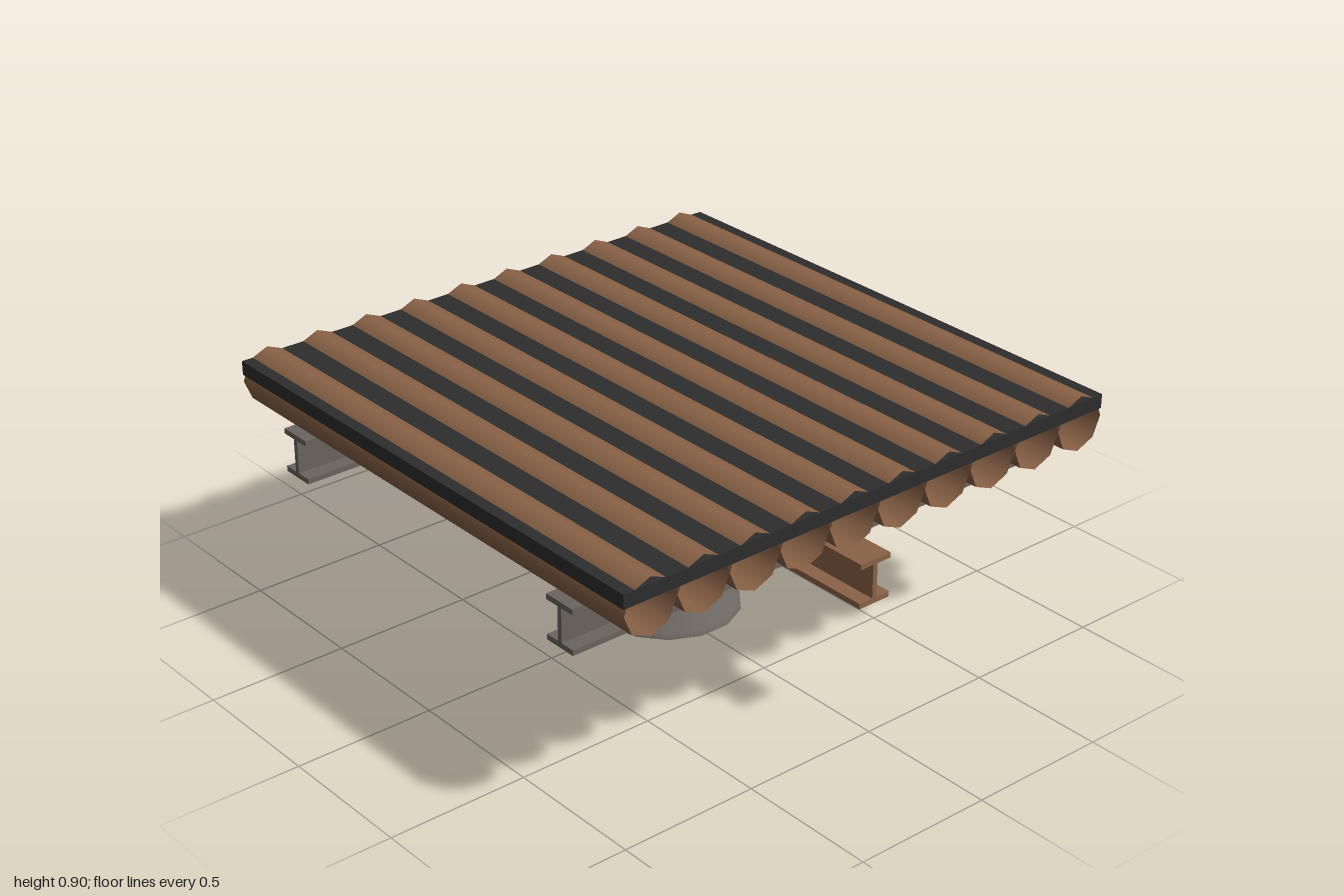
import * as THREE from 'three';

export function createModel() {
  const model = new THREE.Group();
  const mat = (name, color, side = THREE.FrontSide) => {
    const m = new THREE.MeshStandardMaterial({ color, side });
    m.name = name;
    return m;
  };
  const slabDark = mat('charcoal', 0x2d2d2d);
  const rust = mat('rust brown', 0x8b6347, THREE.DoubleSide);
  const steel = mat('warm grey steel', 0x6b6560);

  const add = (name, geometry, material, x = 0, y = 0, z = 0, parent = model) => {
    const mesh = new THREE.Mesh(geometry, material);
    mesh.name = name;
    mesh.position.set(x, y, z);
    parent.add(mesh);
    return mesh;
  };

  // Roof slab, with the ridges of the tubes poking through
  add('roofSlab', new THREE.BoxGeometry(2, 0.05, 2), slabDark, 0, 0.855, 0);

  // Open eight-sided corrugation tubes, side by side, with a ridge on top
  const tube = new THREE.CylinderGeometry(0.099, 0.099, 2, 8, 1, true);
  tube.rotateX(Math.PI / 2);
  for (let i = 0; i < 10; i++) {
    add('corrugation' + (i + 1), tube, rust, -0.9 + i * 0.2, 0.805, 0);
  }

  // I-section running along z, standing on y = 0
  const w = 0.0625, h = 0.158, f = 0.019, t = 0.009;
  const half = [[w, 0], [w, f], [t, f], [t, h - f], [w, h - f], [w, h]];
  const outline = [...half, ...half.map(([x, y]) => [-x, y]).reverse()];
  const section = new THREE.Shape(outline.map(([x, y]) => new THREE.Vector2(x, y)));
  const beam = new THREE.ExtrudeGeometry(section, { depth: 2, bevelEnabled: false });
  beam.translate(0, 0, -1);

  add('lowerBeam', beam, rust, 0, 0.475, 0);
  for (const side of [-1, 1]) {
    const cross = add(side > 0 ? 'frontCrossBeam' : 'backCrossBeam', beam, steel, 0, 0.565, side * 0.7);
    cross.rotation.y = Math.PI / 2;
  }

  // Hanging lamp
  const lamp = new THREE.Group();
  lamp.name = 'pendantLamp';
  model.add(lamp);
  add('lampRod', new THREE.CylinderGeometry(0.008, 0.008, 0.29, 8), steel, 0, 0.335, 0, lamp);

  const profile = [[0.257, 0.03], [0.25, 0.05], [0.04, 0.195]].map(([x, y]) => new THREE.Vector2(x, y));
  const shade = add('lampShade', new THREE.LatheGeometry(profile, 14), steel, 0, 0, 0, lamp);
  shade.rotation.y = Math.PI / 2;

  // Flat closures at the top and underside of the shade
  const disc = (name, r, y, tilt) => {
    const g = new THREE.CircleGeometry(r, 14);
    g.rotateX(tilt);
    add(name, g, steel, 0, y, 0, lamp);
  };
  disc('shadeTop', 0.04, 0.195, -Math.PI / 2);
  disc('shadeUnderside', 0.257, 0.03, Math.PI / 2);

  add('bulb', new THREE.SphereGeometry(0.042, 12, 8), rust, 0, 0.042, 0, lamp);

  return model;
}
